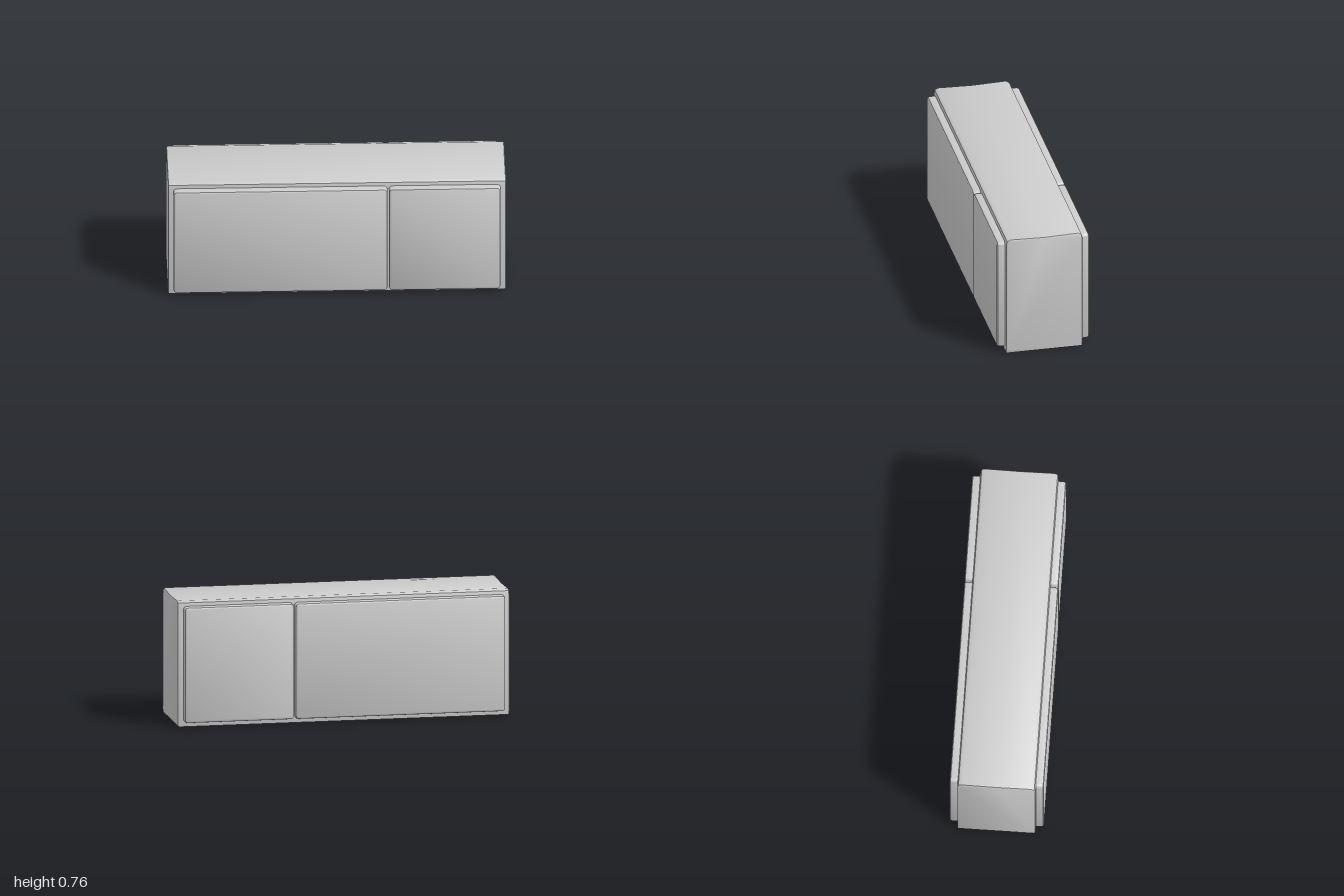
import * as THREE from 'three';
import { toCreasedNormals } from 'three/addons/utils/BufferGeometryUtils.js';

const material = new THREE.MeshStandardMaterial({ color: 0xcccccc });

// Extrudes an outline to a total length, centred on z, with the bevel kept inside the outline
function bevelled(shape, length, thickness, size) {
  const g = new THREE.ExtrudeGeometry(shape, {
    depth: length - 2 * thickness, bevelThickness: thickness, bevelSize: size,
    bevelOffset: -size, bevelSegments: 2, curveSegments: 4,
  });
  g.translate(0, 0, thickness - length / 2);
  return toCreasedNormals(g, 0.6);
}

function roundedRect(x0, y0, x1, y1, r) {
  const s = new THREE.Shape();
  s.absarc(x1 - r, y0 + r, r, -Math.PI / 2, 0);
  s.absarc(x1 - r, y1 - r, r, 0, Math.PI / 2);
  s.absarc(x0 + r, y1 - r, r, Math.PI / 2, Math.PI);
  s.absarc(x0 + r, y0 + r, r, Math.PI, Math.PI * 1.5);
  s.closePath();
  return s;
}

function part(name, geometry) {
  const mesh = new THREE.Mesh(geometry, material);
  mesh.name = name;
  return mesh;
}

export function createModel() {
  const group = new THREE.Group();
  group.name = 'panelledBlock';

  // Core: chamfered top edges, slightly dished top, nearly square bottom
  const half = [[0.229, 0.002], [0.232, 0.02], [0.232, 0.72], [0.225, 0.745], [0.205, 0.756]];
  const outline = [
    ...half, [0, 0.75],
    ...half.map(([z, y]) => [-z, y]).reverse(),
  ].map(([z, y]) => new THREE.Vector2(z, y === 0.002 ? 0 : y));
  const core = bevelled(new THREE.Shape(outline), 2, 0.012, 0.008);
  core.rotateY(Math.PI / 2);
  group.add(part('coreBlock', core));

  // Wide and narrow raised panels, repeated on front and back
  const panels = [['wide', -0.968, 0.297], ['narrow', 0.307, 0.966]];
  for (const [label, x0, x1] of panels) {
    for (const [face, side] of [['Front', 1], ['Back', -1]]) {
      const panel = bevelled(roundedRect(x0, 0.028, x1, 0.725, 0.02), 0.1, 0.017, 0.011);
      panel.translate(0, 0, side * 0.229);
      group.add(part(label + face + 'Panel', panel));
    }
  }
  return group;
}
